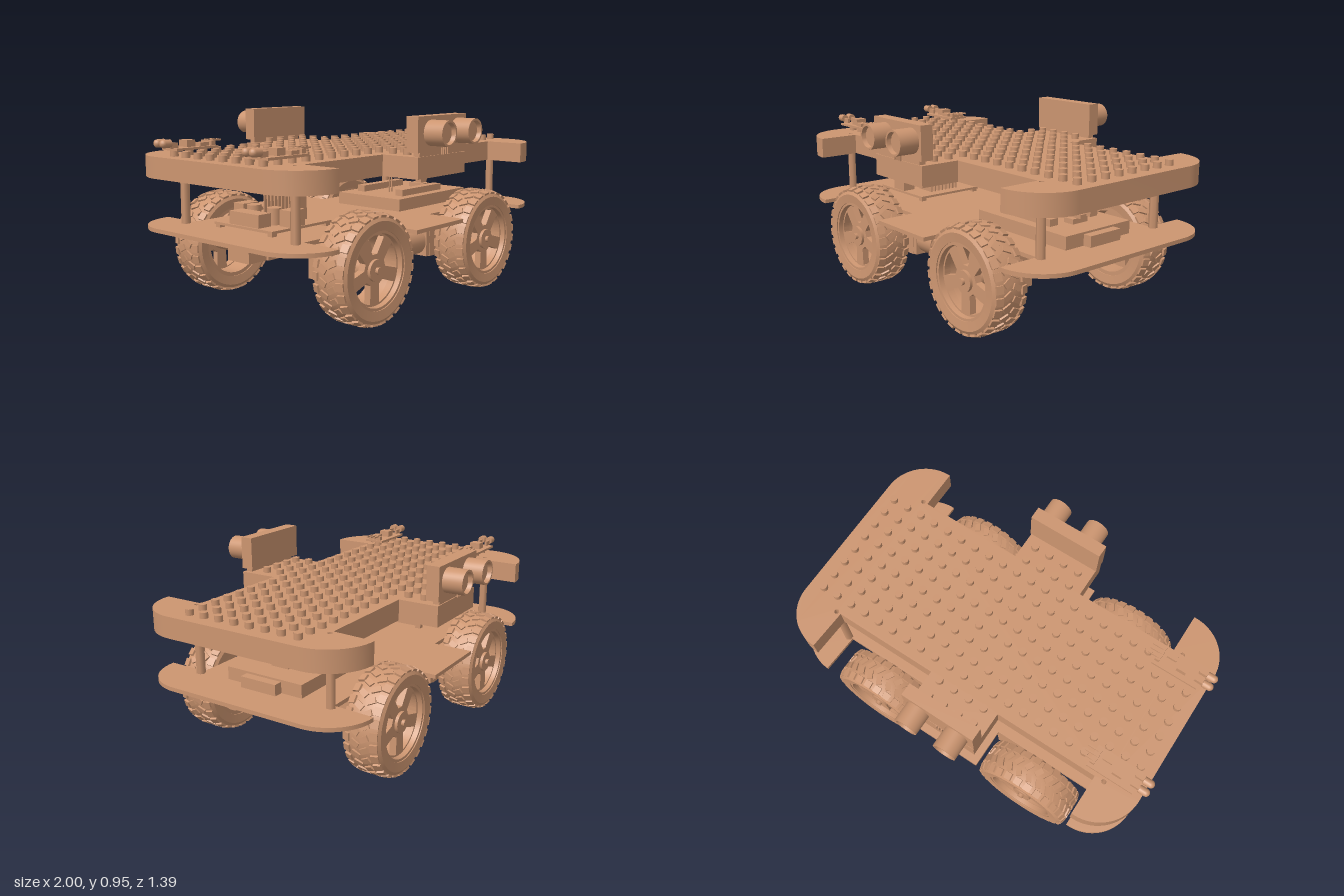
import * as THREE from 'three';
import { mergeGeometries, toCreasedNormals } from 'three/addons/utils/BufferGeometryUtils.js';

const copper = new THREE.MeshStandardMaterial({ color: 0xcc9570 });
copper.name = 'copper';

function add(parent, name, geometry, x = 0, y = 0, z = 0) {
  const mesh = new THREE.Mesh(geometry, copper);
  mesh.name = name;
  mesh.position.set(x, y, z);
  parent.add(mesh);
  return mesh;
}

// Box given by its limits on each axis
function box(parent, name, x0, x1, y0, y1, z0, z1) {
  return add(parent, name, new THREE.BoxGeometry(x1 - x0, y1 - y0, z1 - z0),
    (x0 + x1) / 2, (y0 + y1) / 2, (z0 + z1) / 2);
}

// Cylinder lying along the x, y or z axis
function rod(axis, r, length, sides = 24) {
  const g = new THREE.CylinderGeometry(r, r, length, sides);
  if (axis === 'x') g.rotateZ(Math.PI / 2);
  if (axis === 'z') g.rotateX(Math.PI / 2);
  return g;
}

const ring = (points, sides) => toCreasedNormals(
  new THREE.LatheGeometry(points.map(p => new THREE.Vector2(...p)), sides), 0.6).rotateX(Math.PI / 2);

const POSTS = [[-0.79, 0.38], [-0.79, -0.38], [0.79, 0.38], [0.79, -0.38]];

// Plate outline: rounded ends, wheel notches and a central tab on each side
function plate(height) {
  const s = new THREE.Shape(), r = 0.225, w = 0.59, n = 0.38, q = Math.PI / 2;
  s.moveTo(0.765, -w);
  s.absarc(1 - r, -w + r, r, -q, 0);
  s.absarc(1 - r, w - r, r, 0, q);
  for (const [x, z] of [[0.765, w], [0.765, n], [0.205, n], [0.205, w], [-0.19, w], [-0.19, n], [-0.74, n], [-0.74, w]]) s.lineTo(x, z);
  s.absarc(-0.975 + r, w - r, r, q, 2 * q);
  s.absarc(-0.975 + r, -w + r, r, 2 * q, 3 * q);
  for (const [x, z] of [[-0.74, -w], [-0.74, -n], [-0.19, -n], [-0.19, -w], [0.205, -w], [0.205, -n], [0.765, -n]]) s.lineTo(x, z);
  s.closePath();
  for (const [x, z] of POSTS) s.holes.push(new THREE.Path().absarc(x, z, 0.012, 0, Math.PI * 2, true));
  const g = new THREE.ExtrudeGeometry(s, { depth: height, bevelEnabled: false, curveSegments: 16 });
  return toCreasedNormals(g.rotateX(Math.PI / 2), 0.5);
}

// Wheel centred on its axle, outer face towards +z
const tyre = ring([[0.185, -0.09], [0.23, -0.095], [0.247, -0.085], [0.256, -0.05], [0.258, 0],
  [0.256, 0.05], [0.247, 0.085], [0.23, 0.095], [0.185, 0.09], [0.185, -0.09]], 60);
const rim = ring([[0.187, -0.085], [0.187, 0.085], [0.172, 0.085], [0.165, 0.03], [0.165, -0.085], [0.187, -0.085]], 60);

function treadGeometry() {
  const blocks = [], count = 28;
  for (let i = 0; i < count; i++) {
    for (const side of [-1, 1]) {
      const turn = (i + (side > 0 ? 0.5 : 0)) / count * Math.PI * 2;
      const shoulder = new THREE.BoxGeometry(0.038, 0.016, 0.036);
      shoulder.rotateX(side * 0.28).translate(0, 0.2525, side * 0.07).rotateZ(turn);
      const middle = new THREE.BoxGeometry(0.028, 0.014, 0.044);
      middle.rotateY(side * 0.5).translate(0, 0.258, side * 0.025).rotateZ(turn + 0.08);
      blocks.push(shoulder, middle);
    }
  }
  return mergeGeometries(blocks);
}

function spokeGeometry() {
  const s = new THREE.Shape().absarc(0, 0, 0.172, 0, Math.PI * 2, false);
  const step = Math.PI * 2 / 5;
  for (let i = 0; i < 5; i++) {
    const a = i * step + Math.PI / 2;
    const hole = new THREE.Path();
    const at = (r, t) => [r * Math.cos(a + t), r * Math.sin(a + t)];
    hole.moveTo(...at(0.075, 0.22));
    hole.lineTo(...at(0.16, 0.42));
    hole.absarc(0, 0, 0.16, a + 0.42, a - 0.42, true);
    hole.lineTo(...at(0.075, -0.22));
    hole.closePath();
    s.holes.push(hole);
  }
  return toCreasedNormals(new THREE.ExtrudeGeometry(s, { depth: 0.035, bevelEnabled: false, curveSegments: 30 }), 0.5);
}

const tread = treadGeometry(), spokes = spokeGeometry();

function makeWheel() {
  const wheel = new THREE.Group();
  wheel.name = 'wheel';
  add(wheel, 'tyre', tyre);
  add(wheel, 'tread', tread);
  add(wheel, 'rim', rim);
  add(wheel, 'spokes', spokes, 0, 0, 0.025);
  add(wheel, 'hub', rod('z', 0.052, 0.15), 0, 0, 0);
  add(wheel, 'hubCap', rod('z', 0.016, 0.02, 16), 0, 0, 0.08);
  return wheel;
}

// Geared motor: gearbox below the wheel axle, can pointing to the middle (dir)
function makeMotor(x, side, dir) {
  const motor = new THREE.Group();
  motor.name = 'motor';
  motor.position.set(x, 0.27, side * 0.29);
  add(motor, 'gearbox', new THREE.BoxGeometry(0.33, 0.165, 0.16), dir * 0.085, 0.002, 0);
  add(motor, 'motorCan', rod('x', 0.074, 0.15), dir * 0.325, 0, 0);
  add(motor, 'motorCap', rod('x', 0.035, 0.025, 16), dir * 0.412, 0, 0);
  add(motor, 'motorStrap', new THREE.BoxGeometry(0.03, 0.155, 0.155), dir * 0.262, 0, 0);
  add(motor, 'bracket', new THREE.BoxGeometry(0.1, 0.21, 0.018), dir * 0.09, 0.027, -side * 0.09);
  add(motor, 'axle', rod('z', 0.018, 0.26, 16), 0, 0, side * 0.005);
  for (const y of [-0.04, 0.05]) add(motor, 'bolt', rod('z', 0.012, 0.21, 12), dir * 0.09, y, 0);
  return motor;
}

// Distance sensor with two round eyes, facing +z
function makeSensor(eyeShift) {
  const sensor = new THREE.Group();
  sensor.name = 'distanceSensor';
  box(sensor, 'sensorCase', -0.195, 0.205, 0.785, 0.955, 0.525, 0.592);
  box(sensor, 'sensorFoot', -0.17, 0.18, 0.765, 0.785, 0.55, 0.585);
  const eye = ring([[0.045, -0.052], [0.062, -0.052], [0.062, 0.052], [0.052, 0.052], [0.048, 0.03], [0, 0.03]], 32);
  for (const x of [-0.11, 0.11]) add(sensor, 'sensorEye', eye, x + eyeShift, 0.875, 0.645);
  for (let i = 0; i < 4; i++) box(sensor, 'sensorPin', -0.01 + i * 0.016, -0.004 + i * 0.016, 0.765, 0.8, 0.595, 0.602);
  return sensor;
}

// Small lamp board with two lamps at its outer end
function makeLampBoard(z) {
  const board = new THREE.Group();
  board.name = 'lampBoard';
  board.position.z = z;
  box(board, 'circuitBoard', -0.93, -0.68, 0.795, 0.807, -0.058, 0.058);
  box(board, 'chip', -0.85, -0.8, 0.807, 0.84, -0.03, 0.03);
  box(board, 'trimmer', -0.78, -0.73, 0.807, 0.825, 0.005, 0.045);
  box(board, 'pinHeader', -0.71, -0.685, 0.807, 0.83, -0.04, 0.04);
  for (const s of [-1, 0, 1]) box(board, 'pin', -0.7, -0.64, 0.826, 0.834, s * 0.025 - 0.004, s * 0.025 + 0.004);
  for (const s of [-1, 1]) {
    add(board, 'lamp', rod('x', 0.02, 0.035, 16), -0.96, 0.83, s * 0.023);
    add(board, 'lampTip', new THREE.SphereGeometry(0.02, 16, 10), -0.978, 0.83, s * 0.023);
    box(board, 'lampLead', -0.945, -0.9, 0.805, 0.832, s * 0.023 - 0.006, s * 0.023 + 0.006);
  }
  return board;
}

export function createModel() {
  const model = new THREE.Group();
  model.name = 'wheeledRobot';

  // Plates and spacers
  add(model, 'deck', plate(0.105), 0, 0.765, 0);
  add(model, 'chassisPlate', plate(0.02), 0, 0.42, 0);
  for (const [x, z] of POSTS) add(model, 'spacer', rod('y', 0.023, 0.24, 6), x, 0.54, z);

  // Studs on the deck, with extra rows on the central tab
  const studs = [];
  for (let col = 0; col < 22; col++) for (let row = -2; row < 10; row++) {
    const onTab = col >= 9 && col <= 12;
    if (!onTab && (row < 0 || row > 7)) continue;
    studs.push(rod('y', 0.02, 0.03, 12).translate(-0.9 + col * 0.0868, 0.779, -0.31 + row * 0.0871));
  }
  add(model, 'studs', mergeGeometries(studs));

  // Wheels and motors
  for (const [x, dir] of [[-0.455, 1], [0.475, -1]]) for (const side of [1, -1]) {
    const wheel = makeWheel();
    wheel.position.set(x, 0.27, side * 0.49);
    if (side < 0) wheel.rotation.y = Math.PI;
    model.add(wheel, makeMotor(x, side, dir));
  }

  // Sensors on the tabs
  const backSensor = makeSensor(0.002);
  backSensor.rotation.y = Math.PI;
  backSensor.position.x = 0.01;
  model.add(makeSensor(0.02), backSensor);

  // Lamp boards
  model.add(makeLampBoard(0.303), makeLampBoard(-0.308));

  // Motor driver with finned heat sink and terminals
  const driver = new THREE.Group();
  driver.name = 'motorDriver';
  box(driver, 'driverBoard', -0.76, -0.36, 0.435, 0.447, -0.2, 0.2);
  for (const x of [-0.74, -0.38]) for (const z of [-0.18, 0.18]) box(driver, 'standoff', x - 0.015, x + 0.015, 0.42, 0.435, z - 0.015, z + 0.015);
  box(driver, 'heatSinkBase', -0.49, -0.47, 0.447, 0.64, -0.09, 0.09);
  for (let i = 0; i < 8; i++) box(driver, 'heatSinkFin', -0.54, -0.42, 0.447, 0.64, -0.09 + i * 0.0246, -0.082 + i * 0.0246);
  box(driver, 'terminalBlock', -0.75, -0.67, 0.447, 0.51, -0.1, 0.1);
  for (const s of [-1, 1]) {
    box(driver, 'sideTerminal', -0.64, -0.54, 0.447, 0.525, s * 0.16 - 0.035, s * 0.16 + 0.035);
    add(driver, 'capacitor', rod('y', 0.035, 0.08), -0.62, 0.487, s * 0.07);
  }
  model.add(driver);

  // Controller case with header rows and a switch
  const controller = new THREE.Group();
  controller.name = 'controller';
  box(controller, 'controllerCase', 0.16, 0.78, 0.42, 0.485, -0.215, 0.215);
  box(controller, 'socket', 0.78, 0.825, 0.42, 0.475, -0.1, 0.1);
  for (const s of [-1, 1]) box(controller, 'header', 0.26, 0.62, 0.485, 0.52, s * 0.135 - 0.025, s * 0.135 + 0.025);
  box(controller, 'switchBody', 0.6, 0.66, 0.485, 0.51, -0.05, 0.05);
  box(controller, 'switchLever', 0.62, 0.68, 0.51, 0.53, -0.02, 0.02);
  for (const x of [0.345, 0.365]) box(controller, 'tallPin', x, x + 0.006, 0.485, 0.57, -0.003, 0.003);
  model.add(controller);

  return model;
}
